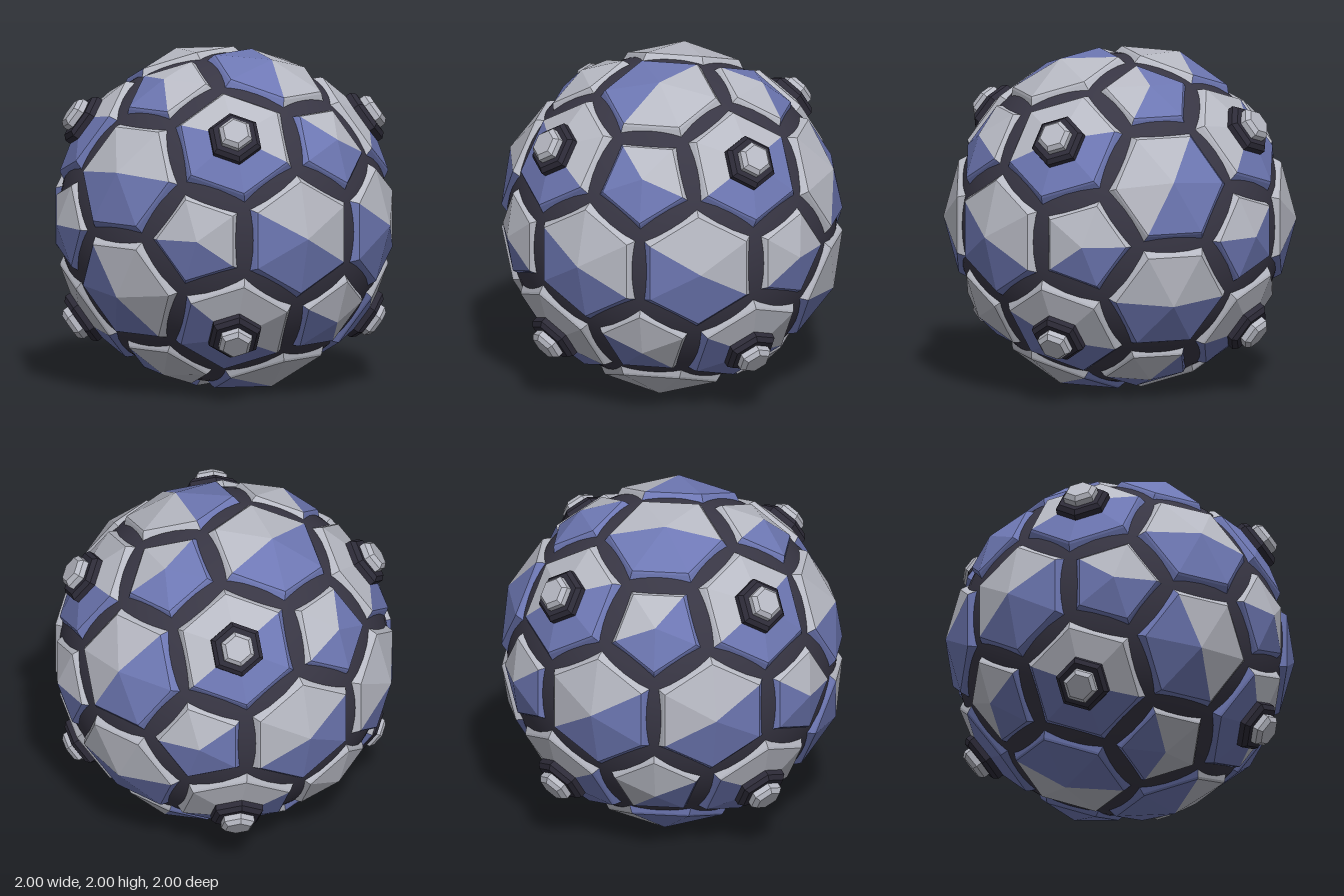
import * as THREE from 'three';

const mat = (name, color, side = THREE.FrontSide) => {
  const m = new THREE.MeshStandardMaterial({ color, side });
  m.name = name;
  return m;
};

const PHI = (1 + Math.sqrt(5)) / 2;
const CORE_RADIUS = 0.98;
// Facets that lean towards this direction are blue, the others grey
const BLUE_SIDE = new THREE.Vector3(-0.5, -1, 0.4);

// All sign changes and rotations of (a, 0, b)
function cyclicPoints(a, b) {
  const out = [];
  for (const s of [1, -1]) for (const t of [1, -1]) {
    const p = s * a, q = t * b;
    out.push(new THREE.Vector3(p, 0, q), new THREE.Vector3(q, p, 0), new THREE.Vector3(0, q, p));
  }
  return out;
}

// Unit directions from a panel's centre to its corners, counter-clockwise
function cornerDirections(normal, corners) {
  const reach = Math.max(...corners.map((c) => c.dot(normal)));
  const dirs = corners.filter((c) => c.dot(normal) > reach - 0.01)
    .map((c) => c.clone().addScaledVector(normal, -c.dot(normal)).normalize());
  const u = dirs[0].clone(), v = normal.clone().cross(u);
  const angle = (d) => Math.atan2(d.dot(v), d.dot(u));
  return dirs.sort((a, b) => angle(a) - angle(b));
}

// Faceted panel: sloped wall, narrow chamfer and low pyramid
function makePanel(normal, dirs, radius, height, apexHeight, mats, name) {
  const rings = [[radius + 0.035, height - 0.06], [radius + 0.01, height - 0.012], [radius, height]];
  const at = (d, [r, h]) => normal.clone().multiplyScalar(h).addScaledVector(d, r);
  const apex = normal.clone().multiplyScalar(apexHeight);
  const sides = { grey: [], blue: [] };
  dirs.forEach((d, i) => {
    const e = dirs[(i + 1) % dirs.length];
    const target = d.clone().add(e).dot(BLUE_SIDE) > 0 ? sides.blue : sides.grey;
    for (let k = 0; k < 2; k++) {
      const a = at(d, rings[k]), b = at(e, rings[k]);
      const c = at(e, rings[k + 1]), f = at(d, rings[k + 1]);
      target.push(a, b, c, a, c, f);
    }
    target.push(at(d, rings[2]), at(e, rings[2]), apex);
  });
  const panel = new THREE.Group();
  panel.name = name;
  for (const tone of ['grey', 'blue']) {
    if (!sides[tone].length) continue;
    const geo = new THREE.BufferGeometry().setFromPoints(sides[tone]);
    geo.computeVertexNormals();
    const mesh = new THREE.Mesh(geo, mats[tone]);
    mesh.name = tone + 'Facets';
    panel.add(mesh);
  }
  return panel;
}

// Hexagonal stud made of stacked tiers: [name, material, bottom radius, top radius, from, to]
function makeStud(normal, cornerDir, mats) {
  const tiers = [
    ['studCollar', mats.dark, 0.165, 0.165, 0.98, 1.04],
    ['studCollarChamfer', mats.dark, 0.165, 0.14, 1.04, 1.065],
    ['studCap', mats.grey, 0.105, 0.105, 1.05, 1.1],
    ['studCapChamfer', mats.grey, 0.105, 0.08, 1.1, 1.125],
  ];
  const stud = new THREE.Group();
  stud.name = 'stud';
  for (const [name, material, r0, r1, from, to] of tiers) {
    const geo = new THREE.CylinderGeometry(r1, r0, to - from, 6).toNonIndexed();
    geo.computeVertexNormals();
    const mesh = new THREE.Mesh(geo, material);
    mesh.name = name;
    mesh.position.y = (from + to) / 2;
    stud.add(mesh);
  }
  const basis = new THREE.Matrix4().makeBasis(normal.clone().cross(cornerDir), normal, cornerDir);
  stud.quaternion.setFromRotationMatrix(basis);
  return stud;
}

export function createModel() {
  const mats = {
    grey: mat('pale grey', 0xb8bac4),
    blue: mat('slate blue', 0x6e78b4),
    core: mat('charcoal', 0x383644),
    dark: mat('dark charcoal', 0x2d2b38),
  };
  const model = new THREE.Group();
  model.name = 'panelledSphere';
  const ball = new THREE.Group();
  ball.name = 'ball';
  ball.position.y = 1;
  model.add(ball);

  // Smooth dark core
  const core = new THREE.Mesh(new THREE.SphereGeometry(CORE_RADIUS, 64, 40), mats.core);
  core.name = 'core';
  ball.add(core);

  // Corners of a truncated icosahedron
  const ico = cyclicPoints(1, PHI);
  const corners = [];
  for (const a of ico) for (const b of ico) {
    if (a !== b && a.distanceTo(b) < 2.1) {
      corners.push(a.clone().multiplyScalar(2).add(b).divideScalar(3));
    }
  }

  // Twelve pentagon panels
  for (const p of ico) {
    const n = p.clone().normalize();
    ball.add(makePanel(n, cornerDirections(n, corners), 0.255, 0.978, 1.045, mats, 'pentagonPanel'));
  }

  // Twenty hexagon panels, the eight diagonal ones carrying studs
  const diagonals = [];
  for (const x of [1, -1]) for (const y of [1, -1]) for (const z of [1, -1]) {
    diagonals.push(new THREE.Vector3(x, y, z));
  }
  for (const p of [...cyclicPoints(PHI, 1 / PHI), ...diagonals]) {
    const n = p.clone().normalize();
    const dirs = cornerDirections(n, corners);
    ball.add(makePanel(n, dirs, 0.335, 0.96, 1.05, mats, 'hexagonPanel'));
    if (diagonals.includes(p)) ball.add(makeStud(n, dirs[0], mats));
  }
  return model;
}
